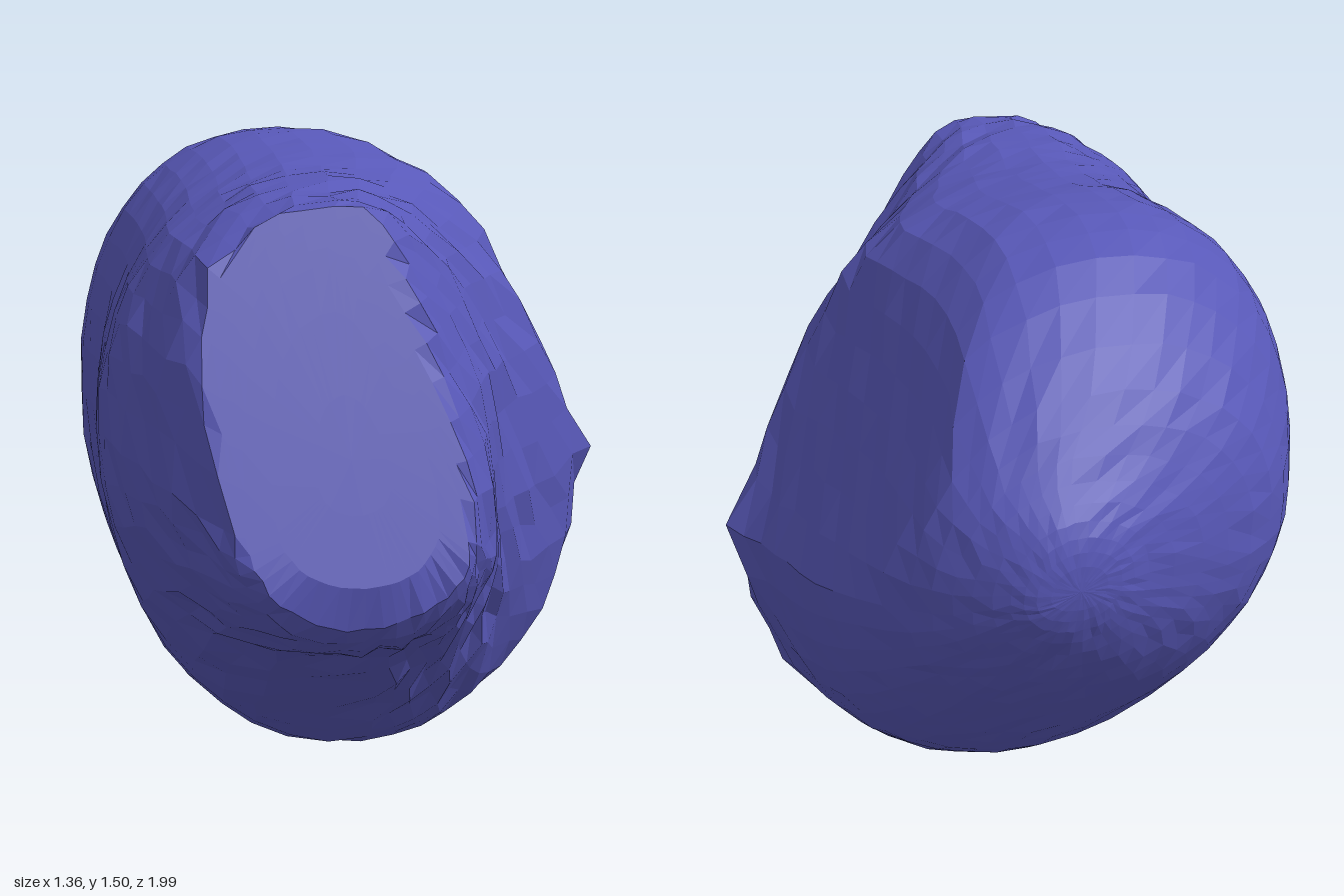
import * as THREE from 'three';

// Cross-sections from back to front: z, then the left, top, right and bottom extremes as x, y
const SECTIONS = [
  [-1.0, 0.2, 0.94, 0.2, 0.94, 0.2, 0.94, 0.2, 0.94],
  [-0.993, 0.12, 0.94, 0.2, 1.01, 0.28, 0.93, 0.19, 0.88],
  [-0.965, 0.03, 0.93, 0.2, 1.08, 0.34, 0.92, 0.18, 0.8],
  [-0.9, -0.16, 0.9, 0.18, 1.16, 0.42, 0.88, 0.15, 0.68],
  [-0.8, -0.34, 0.9, 0.1, 1.28, 0.5, 0.85, 0.1, 0.54],
  [-0.6, -0.49, 0.88, 0, 1.45, 0.58, 0.8, 0.08, 0.32],
  [-0.4, -0.565, 0.86, -0.04, 1.5, 0.61, 0.75, 0.06, 0.15],
  [-0.2, -0.585, 0.85, -0.05, 1.48, 0.63, 0.72, 0.04, 0.05],
  [-0.02, -0.6, 0.85, -0.07, 1.445, 0.64, 0.7, 0.02, 0],
  [0.2, -0.645, 0.85, -0.11, 1.41, 0.44, 0.65, 0, 0.05],
  [0.4, -0.68, 0.85, -0.16, 1.39, 0.28, 0.65, -0.06, 0.17],
  [0.6, -0.67, 0.84, -0.22, 1.37, 0.17, 0.65, -0.12, 0.3],
  [0.78, -0.63, 0.8, -0.25, 1.34, 0.09, 0.65, -0.2, 0.41],
  [0.92, -0.55, 0.73, -0.26, 1.29, 0, 0.66, -0.25, 0.46],
  [1.0, -0.48, 0.72, -0.27, 1.2, -0.06, 0.7, -0.27, 0.55],
  [1.06, -0.27, 0.85, -0.27, 0.85, -0.27, 0.85, -0.27, 0.85],
];
const RINGS = 38;
const SIDES = 44;

// Broken faces on the left: nothing reaches past these planes (normal, offset)
const CUTS = [
  new THREE.Plane(new THREE.Vector3(0.707, 0.707, 0), -1.162),
  new THREE.Plane(new THREE.Vector3(0.886, 0.465, 0).normalize(), -0.892),
  new THREE.Plane(new THREE.Vector3(0.743, 0.371, 0.557), -0.8),
];

// Repeatable value from -0.5 to 0.5
function hash(a, b) {
  const s = Math.sin(a * 127.1 + b * 311.7) * 43758.5453;
  return s - Math.floor(s) - 0.5;
}

// Point on a section made of four quarter ellipses joining its extremes, fuller at the upper right
function sectionPoint([z, xl, yl, xt, yt, xr, yr, xb, yb], angle) {
  const c = Math.cos(angle), s = Math.sin(angle);
  const [sx, sy] = c >= 0 ? [xr, yr] : [xl, yl];
  const [ex, ey] = s >= 0 ? [xt, yt] : [xb, yb];
  const power = c < 0 && s > 0 ? 0.88 : 0.96;
  const u = Math.pow(Math.abs(c), power), v = Math.pow(Math.abs(s), power);
  return new THREE.Vector3(ex + (sx - ex) * u, sy + (ey - sy) * v, z);
}

function rockGeometry() {
  const tracks = SECTIONS[0].map((_, k) =>
    new THREE.SplineCurve(SECTIONS.map((row, i) => new THREE.Vector2(i, row[k]))));
  const knob = new THREE.Vector3(0.64, 0.68, -0.05);
  const positions = [];
  const index = [];

  for (let i = 0; i <= RINGS; i++) {
    const row = tracks.map((t) => t.getPoint(i / RINGS).y);
    const fade = Math.min(1, i / 8, (RINGS - i) / 8);
    for (let j = 0; j < SIDES; j++) {
      const p = sectionPoint(row, (j / SIDES) * Math.PI * 2);
      for (const cut of CUTS) {
        const over = cut.distanceToPoint(p);
        if (over > 0) p.addScaledVector(cut.normal, -over);
      }
      // Small knob on the left flank
      p.x += 0.035 * Math.exp(-p.distanceToSquared(knob) / 0.004);
      // Chipped surface, rougher on the broken front than on the smooth back
      const rough = fade * THREE.MathUtils.lerp(0.006, 0.022, THREE.MathUtils.smoothstep(p.z + p.x * 0.6, -0.2, 0.5));
      p.x += hash(i, j) * rough;
      p.y = Math.max(0, p.y + hash(i + 50, j) * rough);
      p.z += hash(i, j + 90) * rough;
      // Flat front face leaning back
      p.z = Math.min(p.z, 1, 1.222 - 0.375 * p.y);
      positions.push(p.x, p.y, p.z);
    }
  }

  // Quads between rings, single triangles at the two closed ends
  for (let i = 0; i < RINGS; i++) {
    for (let j = 0; j < SIDES; j++) {
      const k = (j + 1) % SIDES;
      const a = i * SIDES + j, b = i * SIDES + k;
      const c = a + SIDES, d = b + SIDES;
      if (i > 0) index.push(a, b, d);
      if (i < RINGS - 1) index.push(a, d, c);
    }
  }

  const geometry = new THREE.BufferGeometry();
  geometry.setAttribute('position', new THREE.Float32BufferAttribute(positions, 3));
  geometry.setIndex(index);
  geometry.computeVertexNormals();
  return geometry;
}

export function createModel() {
  const model = new THREE.Group();
  model.name = 'rock';
  const material = new THREE.MeshStandardMaterial({ color: 0x5858b8, flatShading: true });
  const boulder = new THREE.Mesh(rockGeometry(), material);
  boulder.name = 'boulder';
  model.add(boulder);
  return model;
}
